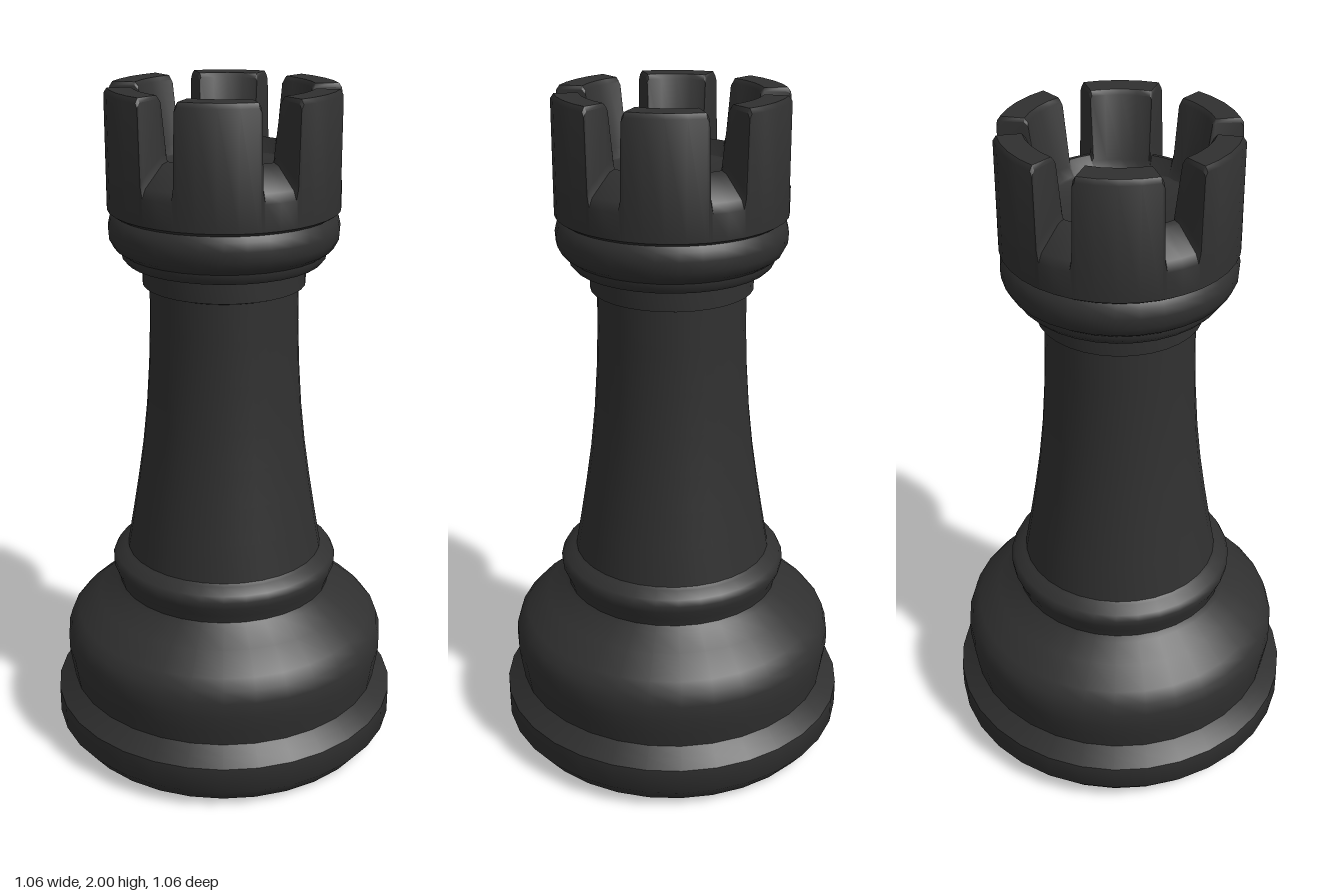
import * as THREE from 'three';
import { toCreasedNormals } from 'three/addons/utils/BufferGeometryUtils.js';

const material = new THREE.MeshStandardMaterial({ color: 0x303030 });
const SEGMENTS = 32;

// Turned part from a [radius, height] profile
function turned(name, profile) {
  const points = profile.map(([r, y]) => new THREE.Vector2(r, y));
  const geometry = toCreasedNormals(new THREE.LatheGeometry(points, SEGMENTS), 0.7);
  const mesh = new THREE.Mesh(geometry, material);
  mesh.name = name;
  return mesh;
}

// Battlement ring: one section swept round, blending between merlon and notch
function battlements() {
  const merlon = [[0.315, 1.655], [0.33, 1.665], [0.33, 1.987], [0.321, 2], [0.255, 2], [0.245, 1.988], [0.222, 1.81], [0.205, 1.78]];
  const notch = [[0.315, 1.655], [0.33, 1.665], [0.33, 1.74], [0.318, 1.765], [0.25, 1.82], [0.23, 1.825], [0.218, 1.8], [0.205, 1.78]];
  // [angle in degrees, share of merlon] over one sixth of the ring
  const steps = [
    [-18, 0], [-10, 0], [-2, 0], [-0.9, 0.12], [0, 0.95], [1.2, 1],
    [10, 1], [20, 1], [30, 1], [38.8, 1], [40, 0.95], [40.9, 0.12],
  ];
  const positions = [];
  const index = [];
  const n = merlon.length;
  const total = steps.length * 6;
  for (let k = 0; k < 6; k++) {
    for (const [degrees, t] of steps) {
      const a = THREE.MathUtils.degToRad(degrees + k * 60);
      for (let j = 0; j < n; j++) {
        const r = THREE.MathUtils.lerp(notch[j][0], merlon[j][0], t);
        const y = THREE.MathUtils.lerp(notch[j][1], merlon[j][1], t);
        positions.push(r * Math.sin(a), y, r * Math.cos(a));
      }
    }
  }
  for (let i = 0; i < total; i++) {
    const next = (i + 1) % total;
    for (let j = 0; j < n - 1; j++) {
      const a = i * n + j, b = next * n + j;
      index.push(a, b, a + 1, b, b + 1, a + 1);
    }
  }
  const geometry = new THREE.BufferGeometry();
  geometry.setAttribute('position', new THREE.Float32BufferAttribute(positions, 3));
  geometry.setIndex(index);
  const mesh = new THREE.Mesh(toCreasedNormals(geometry, 0.7), material);
  mesh.name = 'battlements';
  return mesh;
}

export function createModel() {
  const model = new THREE.Group();
  model.name = 'rook';

  // Foot with chamfered rim
  model.add(turned('foot', [
    [0, 0], [0.47, 0], [0.49, 0.012], [0.528, 0.06], [0.528, 0.14], [0.5, 0.165], [0.477, 0.19],
  ]));

  // Swelling base
  model.add(turned('base', [
    [0.477, 0.19], [0.485, 0.24], [0.492, 0.29], [0.491, 0.335], [0.48, 0.37],
    [0.455, 0.4], [0.39, 0.452], [0.335, 0.49], [0.322, 0.505],
  ]));

  // Ring between base and column
  model.add(turned('lowerRing', [
    [0.322, 0.505], [0.328, 0.53], [0.341, 0.56], [0.343, 0.58], [0.334, 0.598], [0.305, 0.613], [0.296, 0.62],
  ]));

  // Tapering column
  model.add(turned('column', [
    [0.296, 0.62], [0.277, 0.73], [0.259, 0.84], [0.243, 0.95], [0.23, 1.07],
    [0.221, 1.2], [0.216, 1.33], [0.215, 1.44],
  ]));

  // Stepped collar and bead under the crown
  model.add(turned('collar', [
    [0.215, 1.44], [0.235, 1.447], [0.235, 1.51], [0.28, 1.515], [0.292, 1.528], [0.294, 1.545],
    [0.315, 1.56], [0.328, 1.585], [0.33, 1.615], [0.324, 1.64], [0.313, 1.655],
  ]));

  model.add(battlements());

  // Sunken floor of the crown
  model.add(turned('crownFloor', [[0.21, 1.785], [0.2, 1.778], [0, 1.778]]));

  return model;
}
